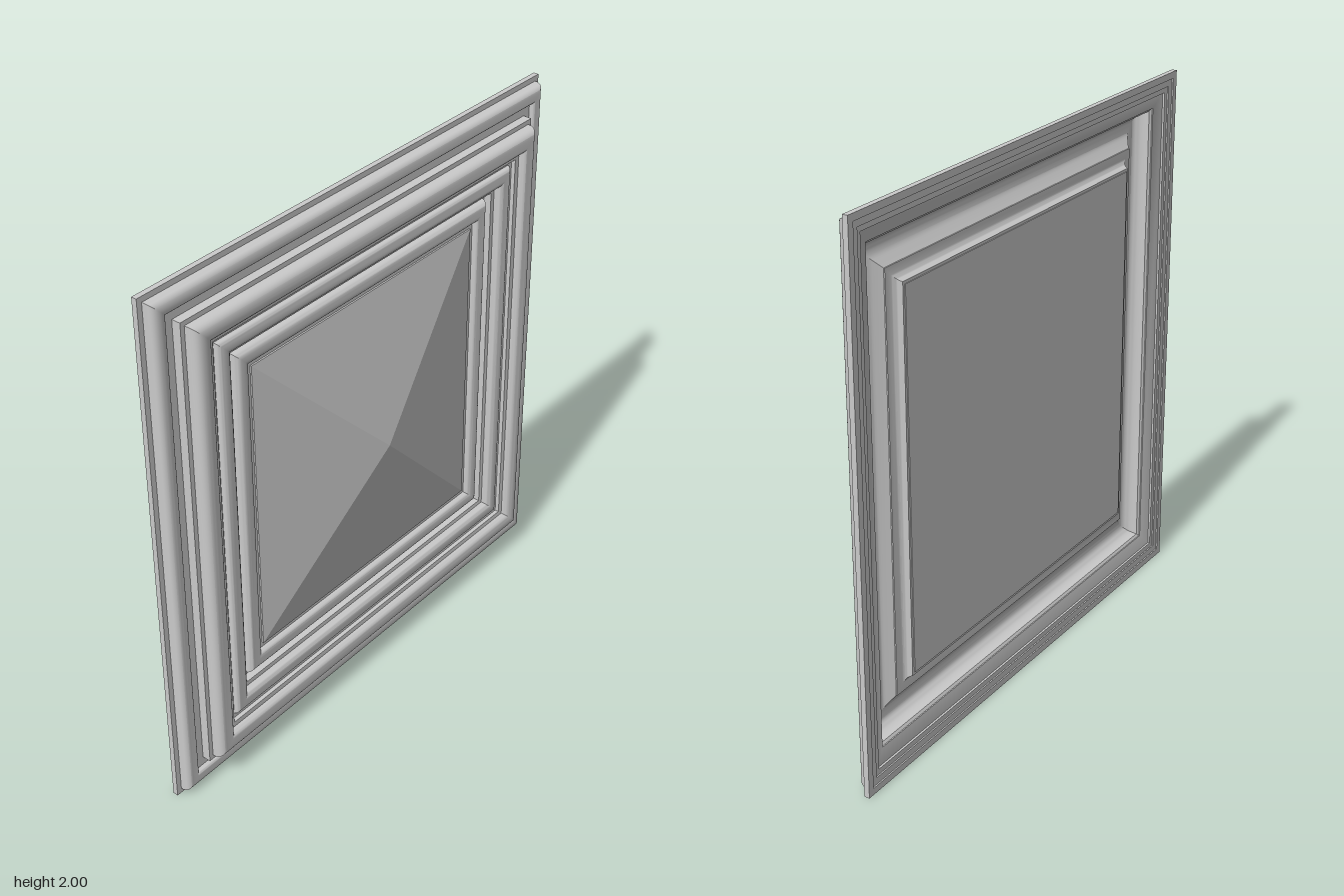
import * as THREE from 'three';
import { toCreasedNormals } from 'three/addons/utils/BufferGeometryUtils.js';

const material = new THREE.MeshStandardMaterial({ color: 0xcccccc });

// Sweeps a profile of [half width, depth] points around a mitred square.
// A four-number entry is a curve: [control r, control z, end r, end z].
function squareRing(name, profile, closed = true, crease = 0.55) {
  const path = new THREE.Path();
  path.moveTo(...profile[0]);
  for (const p of profile.slice(1)) {
    if (p.length === 4) path.quadraticCurveTo(...p);
    else path.lineTo(...p);
  }
  if (closed) path.lineTo(...profile[0]);
  const points = path.getPoints(7).map((p) => new THREE.Vector2(p.x * Math.SQRT2, p.y));
  let geometry = new THREE.LatheGeometry(points, 4);
  geometry.rotateY(Math.PI / 4);
  geometry.rotateX(Math.PI / 2);
  geometry.deleteAttribute('uv');
  geometry = toCreasedNormals(geometry, crease);
  const mesh = new THREE.Mesh(geometry, material);
  mesh.name = name;
  mesh.position.y = 1;
  return mesh;
}

export function createModel() {
  const group = new THREE.Group();
  group.name = 'panelledTile';

  // Thin outer lip with a stepped back
  group.add(squareRing('backLip', [
    [1, -0.075], [1, -0.055], [0.93, -0.055], [0.93, -0.065],
    [0.95, -0.065], [0.95, -0.07], [0.975, -0.07], [0.975, -0.075],
  ]));

  // Outermost rounded moulding and the flat channel inside it
  group.add(squareRing('outerMoulding', [
    [0.98, -0.057], [0.98, -0.045], [0.978, -0.016, 0.95, -0.015], [0.938, -0.015],
    [0.922, -0.016, 0.92, -0.033], [0.88, -0.033], [0.88, -0.045], [0.925, -0.057],
  ]));

  // Tallest moulding, hollow behind
  group.add(squareRing('mainMoulding', [
    [0.887, -0.045], [0.887, 0], [0.87, 0], [0.87, 0.01],
    [0.867, 0.044, 0.835, 0.045], [0.82, 0.045], [0.797, 0.043, 0.792, 0.02],
    [0.775, 0.018], [0.775, 0.002], [0.75, 0], [0.75, -0.02],
    [0.785, 0.005], [0.81, 0.02, 0.835, 0.015], [0.865, 0.005, 0.87, -0.035],
  ]));

  // Third moulding, stepping down to the panel
  group.add(squareRing('innerMoulding', [
    [0.756, -0.02], [0.756, 0], [0.753, 0.019, 0.735, 0.02], [0.715, 0.02],
    [0.695, 0.018, 0.69, -0.008], [0.675, -0.01], [0.675, -0.04], [0.65, -0.04],
    [0.65, -0.045], [0.7, -0.045], [0.705, -0.025, 0.725, -0.02],
  ]));

  // Small bead around the panel
  group.add(squareRing('panelBead', [
    [0.655, -0.045], [0.655, -0.03], [0.65, -0.006, 0.63, -0.005], [0.612, -0.005],
    [0.592, -0.007, 0.59, -0.026], [0.57, -0.026], [0.57, -0.045],
  ]));

  // Shallow pyramid panel with a flat back
  group.add(squareRing('pyramidPanel', [
    [0, -0.048], [0.69, -0.048], [0.69, -0.042], [0.572, -0.042], [0.572, -0.02], [0, 0.08],
  ], false, 0.1));

  return group;
}
